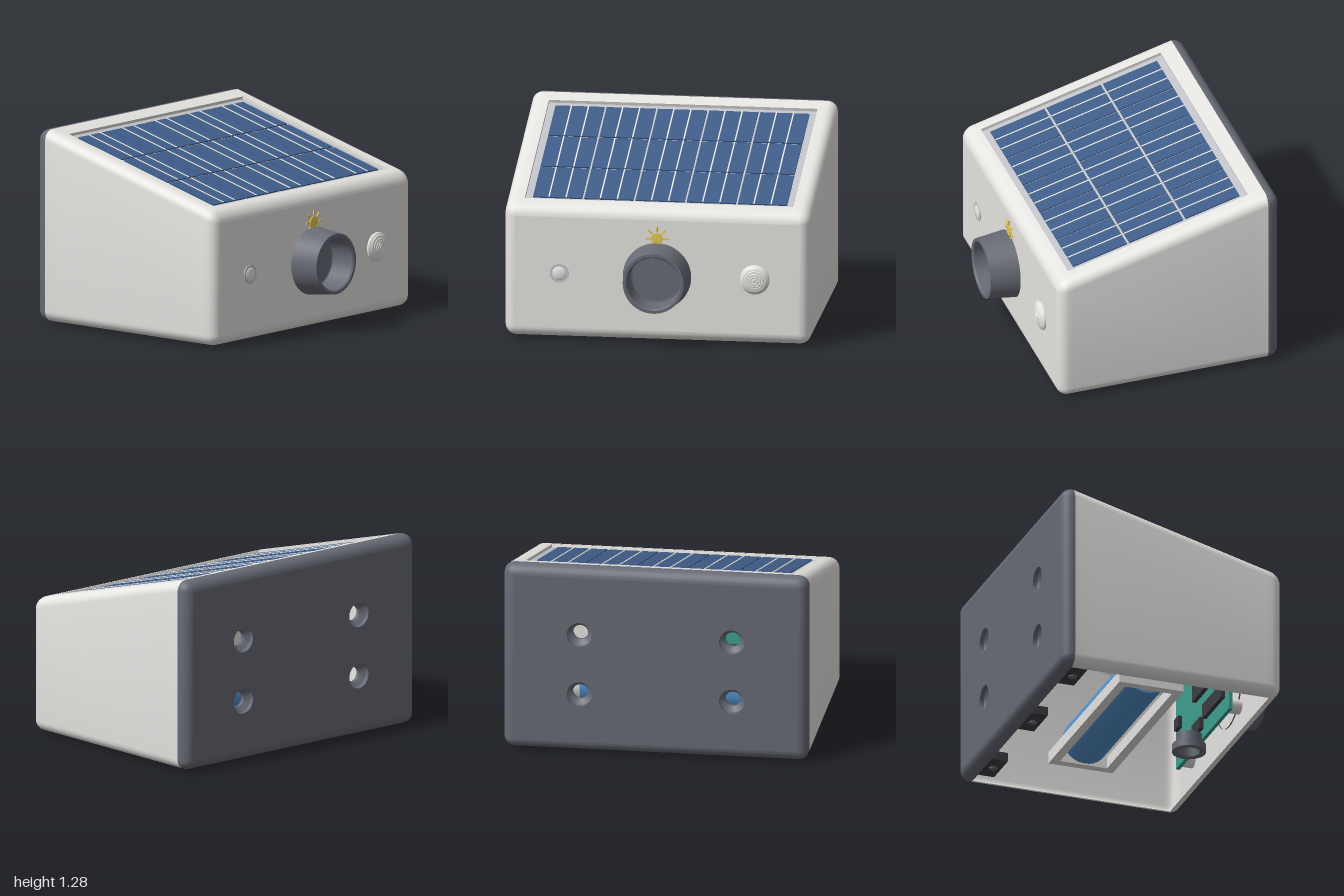
import * as THREE from 'three';
import { toCreasedNormals } from 'three/addons/utils/BufferGeometryUtils.js';

const mat = (name, color, side = THREE.FrontSide) => {
  const m = new THREE.MeshStandardMaterial({ color, side });
  m.name = name;
  return m;
};

const R = 0.07, SPLIT = -0.775, BACK = -0.855, FRONT = 0.66, BOTTOM = 0.015, SLOPE = 0.27;
const topY = (z) => 1.28 - SLOPE * (Math.max(z, SPLIT) - SPLIT);

// rounded rectangular section of the housing, counter-clockwise seen from the front
function section(z, inset = 0) {
  const r = R - inset, cx = 1 - R, lo = BOTTOM + R, hi = topY(z) - R, pts = [];
  const corner = (x, y, start) => {
    for (let k = 0; k <= 6; k++) {
      const a = start + (k / 6) * Math.PI / 2;
      pts.push(new THREE.Vector3(x + r * Math.cos(a), y + r * Math.sin(a), z));
    }
  };
  corner(cx, lo, -Math.PI / 2);
  corner(cx, hi, 0);
  pts.push(new THREE.Vector3(0.88, hi + r, z), new THREE.Vector3(-0.88, hi + r, z));
  corner(-cx, hi, Math.PI / 2);
  corner(-cx, lo, Math.PI);
  return pts;
}

// skin between sections of rising z; skip(i, j) leaves a quad open
function loft(sections, skip = () => false) {
  const pos = [], n = sections[0].length;
  for (let i = 0; i < sections.length - 1; i++) {
    for (let j = 0; j < n; j++) {
      if (skip(i, j)) continue;
      const k = (j + 1) % n;
      const [a, b, c, d] = [sections[i][j], sections[i][k], sections[i + 1][k], sections[i + 1][j]];
      for (const p of [a, b, c, a, c, d]) pos.push(p.x, p.y, p.z);
    }
  }
  const g = new THREE.BufferGeometry();
  g.setAttribute('position', new THREE.Float32BufferAttribute(pos, 3));
  return toCreasedNormals(g, 0.6);
}

// flat end of a section, with optional round holes
function capGeometry(pts, holes = [], radius = 0) {
  const shape = new THREE.Shape(pts.map((p) => new THREE.Vector2(p.x, p.y)));
  for (const [x, y] of holes) {
    shape.holes.push(new THREE.Path().absarc(x, y, radius, 0, Math.PI * 2, true));
  }
  return new THREE.ShapeGeometry(shape, 16).translate(0, 0, pts[0].z);
}

// lathe about the z axis; profile is [radius, z] pairs
function latheZ(profile, segments = 40, crease = 0.5) {
  const g = new THREE.LatheGeometry(profile.map((p) => new THREE.Vector2(...p)), segments);
  return toCreasedNormals(g.rotateX(Math.PI / 2), crease);
}

export function createModel() {
  const root = new THREE.Group();
  root.name = 'solarCamera';
  const shell = mat('shell grey', 0xe8e6e3, THREE.DoubleSide);
  const dark = mat('slate grey', 0x686b75, THREE.DoubleSide);
  const cellBlue = mat('cell blue', 0x3f5d8a);
  const panelGrey = mat('panel grey', 0xc2c4c9, THREE.DoubleSide);
  const white = mat('white', 0xf4f4f2);
  const gold = mat('gold', 0xe6c856);
  const teal = mat('board teal', 0x3f9f90);
  const black = mat('black', 0x3c3d43, THREE.DoubleSide);
  const batteryBlue = mat('battery blue', 0x5290cc);

  const add = (name, geo, material, x = 0, y = 0, z = 0, parent = root) => {
    const m = new THREE.Mesh(geo, material);
    m.name = name;
    m.position.set(x, y, z);
    parent.add(m);
    return m;
  };
  const box = (name, w, h, d, material, x, y, z, parent) =>
    add(name, new THREE.BoxGeometry(w, h, d), material, x, y, z, parent);

  // quarter-round steps: [distance along z, inset]
  const round = Array.from({ length: 7 }, (_, k) => {
    const a = (k / 6) * Math.PI / 2;
    return [R * Math.sin(a), Math.min(R * (1 - Math.cos(a)), R - 0.002)];
  });

  // housing, open below and with an opening for the solar panel
  const P0 = -0.675, P1 = 0.558;
  const front = round.map(([d, i]) => section(FRONT - R + d, i));
  const body = [section(SPLIT), section(P0), section(P1), ...front];
  const last = body[0].length - 1;
  add('housing', loft(body, (i, j) => (j === 14 && i === 1) || (j === last && i < 3)), shell);
  add('housingFront', capGeometry(body[body.length - 1]), shell);

  // back plate with four recessed screw holes
  const holes = [[0.5, 0.41], [-0.5, 0.41], [0.5, 0.82], [-0.5, 0.82]];
  const back = round.map(([d, i]) => section(BACK + R - d, i)).reverse();
  back.push(section(SPLIT));
  add('backPlateEdge', loft(back), dark);
  const rear = capGeometry(back[0], holes, 0.083);
  rear.index.array.reverse();
  rear.attributes.normal.array.forEach((v, i, arr) => { arr[i] = -v; });
  add('backPlate', rear, dark);
  add('backPlateInside', capGeometry(back[back.length - 1], holes, 0.05), dark);
  for (const [x, y] of holes) {
    add('screwHole', latheZ([[0.05, SPLIT], [0.05, -0.8], [0.083, -0.825], [0.083, BACK]], 24), dark, x, y);
  }
  for (const x of [-0.75, 0, 0.75]) {
    box('backPlateTab', 0.26, 0.06, 0.13, black, x, 0.07, -0.71);
    add('tabScrew', new THREE.CylinderGeometry(0.028, 0.028, 0.008, 16), dark, x, 0.037, -0.7);
  }

  // solar panel set into the sloping top
  const panel = new THREE.Group();
  panel.name = 'solarPanel';
  const zc = (P0 + P1) / 2, len = (P1 - P0) * Math.hypot(1, SLOPE);
  panel.position.set(0, topY(zc), zc);
  panel.rotation.x = Math.atan(SLOPE);
  root.add(panel);
  box('panelBase', 1.76, 0.02, len, panelGrey, 0, -0.032, 0, panel);
  for (const s of [-1, 1]) {
    box('panelSideWall', 0.016, 0.04, len, shell, s * 0.888, -0.022, 0, panel);
    box('panelEndWall', 1.79, 0.04, 0.016, shell, 0, -0.022, s * (len / 2 + 0.008), panel);
  }
  for (let c = -2; c <= 2; c++) {
    for (let r = -1; r <= 1; r++) {
      box('solarCell', 0.322, 0.008, 0.384, cellBlue, c * 0.3355, -0.018, r * 0.4, panel);
      for (const s of [-1, 1]) {
        box('cellLine', 0.009, 0.004, 0.384, white, c * 0.3355 + s * 0.056, -0.012, r * 0.4, panel);
      }
    }
  }

  // camera barrel with a recessed lens
  add('cameraBarrel', latheZ([
    [0.225, FRONT - 0.01], [0.222, FRONT + 0.01], [0.2, 0.855], [0.18, 0.855],
    [0.172, 0.845], [0.165, 0.68],
  ], 48), dark, 0, 0.45);
  add('lens', new THREE.CircleGeometry(0.17, 40), dark, 0, 0.45, 0.685);
  add('lensRing', new THREE.TorusGeometry(0.161, 0.003, 8, 48), dark, 0, 0.45, 0.685);

  // indicator lamp
  add('lampRing', new THREE.CylinderGeometry(0.062, 0.062, 0.012, 32).rotateX(Math.PI / 2), panelGrey, -0.64, 0.45, FRONT);
  const lamp = add('lamp', new THREE.SphereGeometry(0.05, 24, 16), white, -0.64, 0.45, FRONT);
  lamp.scale.z = 0.3;

  // motion sensor dome with stepped rings
  const steps = [];
  for (let k = 0; k < 6; k++) {
    const r = 0.098 - k * 0.017;
    const h = 0.038 * Math.sqrt(1 - (r / 0.102) ** 2);
    steps.push([r, h], [r - 0.004, h + 0.004]);
  }
  steps.push([0, 0.043]);
  add('motionSensor', latheZ([[0.098, -0.01], ...steps], 24, 0.2), shell, 0.64, 0.45, FRONT);

  // sun symbol
  const sun = new THREE.Group();
  sun.name = 'sunSymbol';
  sun.position.set(0, 0.704, FRONT + 0.004);
  root.add(sun);
  add('sunDisc', new THREE.CylinderGeometry(0.038, 0.038, 0.0095, 28).rotateX(Math.PI / 2), gold, 0, 0, 0, sun);
  for (let k = -1; k <= 5; k++) {
    const a = k * Math.PI / 4;
    const ray = box('sunRay', 0.034, 0.01, 0.0095, gold, 0.061 * Math.cos(a), 0.061 * Math.sin(a), 0, sun);
    ray.rotation.z = a;
  }

  // circuit board with chips, on posts behind the front wall
  box('circuitBoard', 1.0, 0.64, 0.025, teal, 0, 0.43, 0.485);
  const chips = [[0.42, 0.4, 0.08, 0.08], [0.42, 0.225, 0.08, 0.08], [0.05, 0.215, 0.15, 0.08],
    [-0.25, 0.27, 0.36, 0.1], [0, 0.52, 0.24, 0.2]];
  for (const [x, y, w, h] of chips) box('chip', w, h, 0.03, black, x, y, 0.46);
  for (const x of [-0.44, 0.44]) {
    for (const y of [0.16, 0.69]) {
      add('boardPost', new THREE.CylinderGeometry(0.05, 0.05, 0.08, 20).rotateX(Math.PI / 2), shell, x, y, 0.53);
    }
  }

  // battery in its tray
  const along = (r, l) => new THREE.CylinderGeometry(r, r, l, 32).rotateZ(Math.PI / 2);
  add('battery', along(0.155, 1.16), batteryBlue, 0, 0.245, -0.125);
  for (const s of [-1, 1]) {
    add('batteryCap', along(0.14, 0.04), shell, s * 0.6, 0.245, -0.125);
    box('traySide', 1.34, 0.08, 0.06, shell, 0, 0.135, -0.125 + s * 0.192);
    box('trayEnd', 0.06, 0.08, 0.324, shell, s * 0.64, 0.135, -0.125);
  }

  // threaded mount underneath
  const mount = add('mountSocket', latheZ([
    [0.06, 0.08], [0.07, 0], [0.111, 0], [0.111, 0.05], [0.085, 0.06], [0.085, 0.12], [0, 0.12],
  ], 32), dark, 0, 0, 0.38);
  mount.rotation.x = -Math.PI / 2;
  add('mountSocketFloor', new THREE.CylinderGeometry(0.062, 0.062, 0.01, 24), black, 0, 0.075, 0.38);

  return root;
}
